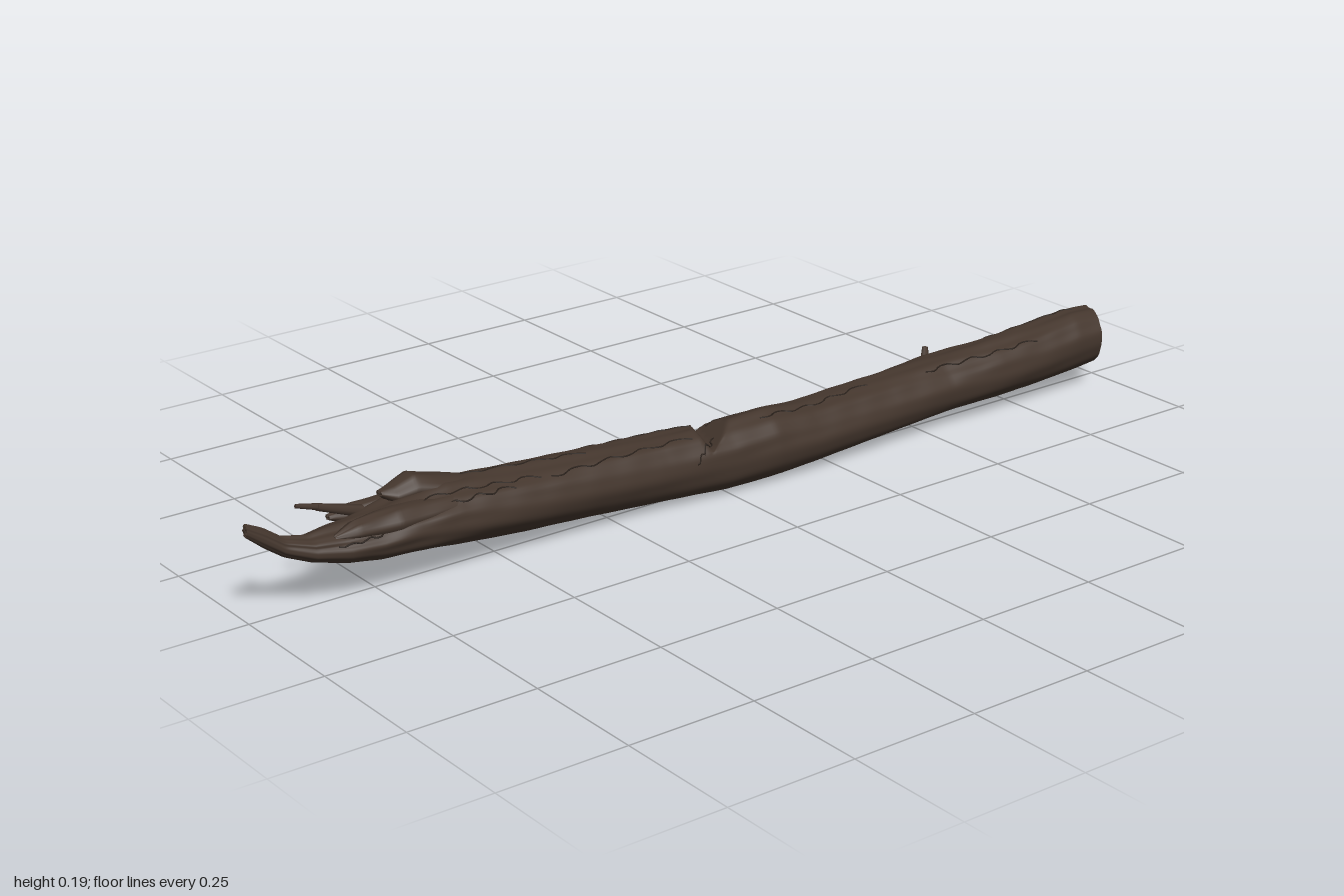
import * as THREE from 'three';

const bark = new THREE.MeshStandardMaterial({ color: 0x44362d });
bark.name = 'dark bark';
const shade = new THREE.MeshStandardMaterial({ color: 0x2b221c });
shade.name = 'crevice brown';

// Stations along the log: x, bottom y, top y, back z, front z
const LOG = [
  [-1.0, 0.165, 0.19, 0.0, 0.014], [-0.965, 0.135, 0.172, -0.012, 0.016],
  [-0.93, 0.11, 0.146, -0.018, 0.02], [-0.88, 0.088, 0.135, -0.03, 0.035],
  [-0.82, 0.072, 0.136, -0.05, 0.05], [-0.76, 0.062, 0.14, -0.062, 0.058],
  [-0.69, 0.054, 0.152, -0.08, 0.062], [-0.6, 0.044, 0.16, -0.085, 0.065],
  [-0.45, 0.03, 0.153, -0.08, 0.066], [-0.3, 0.022, 0.146, -0.074, 0.065],
  [-0.15, 0.012, 0.138, -0.067, 0.066], [0.0, 0.003, 0.134, -0.056, 0.076],
  [0.1, 0.006, 0.138, -0.052, 0.084], [0.2, 0.01, 0.127, -0.055, 0.082],
  [0.4, 0.016, 0.131, -0.057, 0.071], [0.55, 0.022, 0.138, -0.06, 0.066],
  [0.68, 0.028, 0.147, -0.047, 0.075], [0.8, 0.033, 0.155, -0.042, 0.076],
  [0.9, 0.039, 0.165, -0.039, 0.076], [0.965, 0.046, 0.162, -0.036, 0.075],
];

function station(list, x) {
  let i = 0;
  while (i < list.length - 2 && x > list[i + 1][0]) i++;
  const t = (x - list[i][0]) / (list[i + 1][0] - list[i][0]);
  return list[i].map((v, k) => THREE.MathUtils.lerp(v, list[i + 1][k], t));
}

// Long wavering grain, stronger on the weathered top and broken end
function grain(x, a, rough) {
  const top = 0.35 + 0.65 * Math.max(0, Math.cos(a));
  const worn = 1 + 1.6 * THREE.MathUtils.smoothstep(-x, 0.45, 0.8);
  return 1 + rough * (0.02 * Math.sin(3 * a + 5 * x) + top * worn * (
    0.022 * Math.sin(7 * a + 11 * x + Math.sin(9 * x)) +
    0.014 * Math.sin(13 * a - 7 * x + 2 * Math.sin(6 * x)) +
    0.012 * Math.sin(31 * x + 4 * a) * Math.sin(47 * x - 2 * a)));
}

// Surface point at length x and angle a (0 is up, quarter turn faces front)
function surface(list, x, a, scale = 1, rough = 1) {
  const [, y0, y1, z0, z1] = station(list, x);
  const r = scale * grain(x, a, rough);
  const p = new THREE.Vector3(x, (y0 + y1) / 2 + (y1 - y0) / 2 * r * Math.cos(a),
    (z0 + z1) / 2 + (z1 - z0) / 2 * r * Math.sin(a));
  if (list === LOG) {
    // V-shaped notch across the top, and a slanted sawn end
    const d = x + 0.03 + 0.35 * (p.z - 0.01);
    p.y = Math.max(0, Math.min(p.y, 0.102 + Math.abs(d) * (d > 0 ? 0.7 : 1.3)));
    p.x -= 0.3 * (p.z - 0.02) * THREE.MathUtils.smoothstep(x, 0.8, 0.96);
  }
  return p;
}

// Skin the stations with rings, closing each end with a lumpy cap
function loft(list, name, rings, sides, rough = 1) {
  const xa = list[0][0], xb = list[list.length - 1][0];
  const rows = [];
  const cap = (x) => [0.001, 0.35, 0.7, 1].map((s) => ({ x, s }));
  rows.push(...cap(xa), null);
  for (let i = 0; i <= rings; i++) rows.push({ x: xa + (xb - xa) * i / rings, s: 1 });
  rows.push(null, ...cap(xb).reverse());
  const pos = [], index = [];
  let n = 0, joined = false;
  for (const row of rows) {
    if (!row) { joined = false; continue; }
    for (let j = 0; j < sides; j++) {
      const a = j / sides * Math.PI * 2;
      const p = surface(list, row.x, a, row.s, rough);
      if (row.s < 1) p.x += 0.004 * Math.sin(5 * a + row.s * 9) * row.s;
      pos.push(p.x, p.y, p.z);
      if (joined) {
        const k = (j + 1) % sides, b = n - sides;
        index.push(b + j, b + k, n + j, b + k, n + k, n + j);
      }
    }
    n += sides;
    joined = true;
  }
  const g = new THREE.BufferGeometry();
  g.setAttribute('position', new THREE.Float32BufferAttribute(pos, 3));
  g.setIndex(index);
  g.computeVertexNormals();
  const mesh = new THREE.Mesh(g, bark);
  mesh.name = name;
  return mesh;
}

// Tapered twig between two points
function twig(name, from, to, r0, r1) {
  const a = new THREE.Vector3(...from), b = new THREE.Vector3(...to);
  const mesh = new THREE.Mesh(new THREE.CylinderGeometry(r1, r0, a.distanceTo(b), 7), bark);
  mesh.position.copy(a).lerp(b, 0.5);
  mesh.quaternion.setFromUnitVectors(new THREE.Vector3(0, 1, 0), b.sub(a).normalize());
  mesh.name = name;
  return mesh;
}

// Thin dark crack that follows the bark
function crack(x0, x1, a0, a1) {
  const pts = [];
  for (let i = 0; i <= 14; i++) {
    const t = i / 14;
    pts.push(surface(LOG, x0 + (x1 - x0) * t, a0 + (a1 - a0) * t + 0.07 * Math.sin(i * 1.9)));
  }
  const mesh = new THREE.Mesh(
    new THREE.TubeGeometry(new THREE.CatmullRomCurve3(pts), 42, 0.0017, 5), shade);
  mesh.name = 'crack';
  return mesh;
}

export function createModel() {
  const group = new THREE.Group();
  group.name = 'fallenLog';
  group.add(loft(LOG, 'trunk', 260, 72));

  // Torn slivers of wood at the broken end
  group.add(loft([
    [-0.79, 0.112, 0.122, -0.09, -0.075], [-0.76, 0.1, 0.132, -0.092, -0.062],
    [-0.68, 0.088, 0.138, -0.09, -0.04], [-0.5, 0.085, 0.125, -0.08, -0.03],
  ], 'backSliver', 40, 20, 2));
  group.add(loft([
    [-0.715, 0.155, 0.166, -0.04, -0.02], [-0.69, 0.135, 0.17, -0.055, -0.005],
    [-0.65, 0.13, 0.184, -0.06, 0.0], [-0.61, 0.13, 0.172, -0.06, 0.01],
    [-0.52, 0.125, 0.152, -0.04, 0.01],
  ], 'topSliver', 40, 20, 2));
  group.add(loft([
    [-0.84, 0.125, 0.132, 0.02, 0.03], [-0.8, 0.115, 0.148, 0.005, 0.045],
    [-0.72, 0.105, 0.155, 0.0, 0.055], [-0.6, 0.11, 0.148, 0.0, 0.05],
  ], 'frontSliver', 40, 20, 2));
  group.add(twig('splinter', [-0.75, 0.135, -0.035], [-0.835, 0.163, -0.038], 0.012, 0.007));
  group.add(twig('splinterTip', [-0.825, 0.161, -0.038], [-0.875, 0.174, -0.042], 0.007, 0.004));
  group.add(twig('tipFork', [-0.93, 0.13, -0.005], [-0.965, 0.16, -0.026], 0.012, 0.004));

  // Broken lip below the sawn end, and a branch stub behind
  group.add(loft([
    [0.9, 0.048, 0.09, -0.03, 0.03], [0.965, 0.046, 0.098, -0.032, 0.035],
    [0.988, 0.045, 0.088, -0.03, 0.018], [0.999, 0.052, 0.075, -0.022, 0.005],
  ], 'endLip', 24, 20, 2));
  group.add(twig('branchStub', [0.57, 0.105, -0.045], [0.585, 0.134, -0.062], 0.011, 0.006));

  // Cracks in the weathered bark
  const cracks = [
    [-0.7, -0.48, 0.9, 0.75], [-0.68, -0.42, 0.4, 0.6], [-0.6, -0.3, -0.2, 0.1],
    [-0.4, -0.08, 0.7, 0.45], [-0.28, -0.05, -0.5, -0.3], [-0.09, -0.02, 1.3, 0.2],
    [0.0, 0.22, -0.6, -0.8], [0.08, 0.36, 0.35, 0.15], [0.5, 0.78, 0.5, 0.7],
    [-0.72, -0.5, -0.9, -1.1], [-0.84, -0.7, 1.2, 0.9], [0.7, 0.92, -0.5, -0.2],
  ];
  for (const c of cracks) group.add(crack(...c));
  return group;
}
